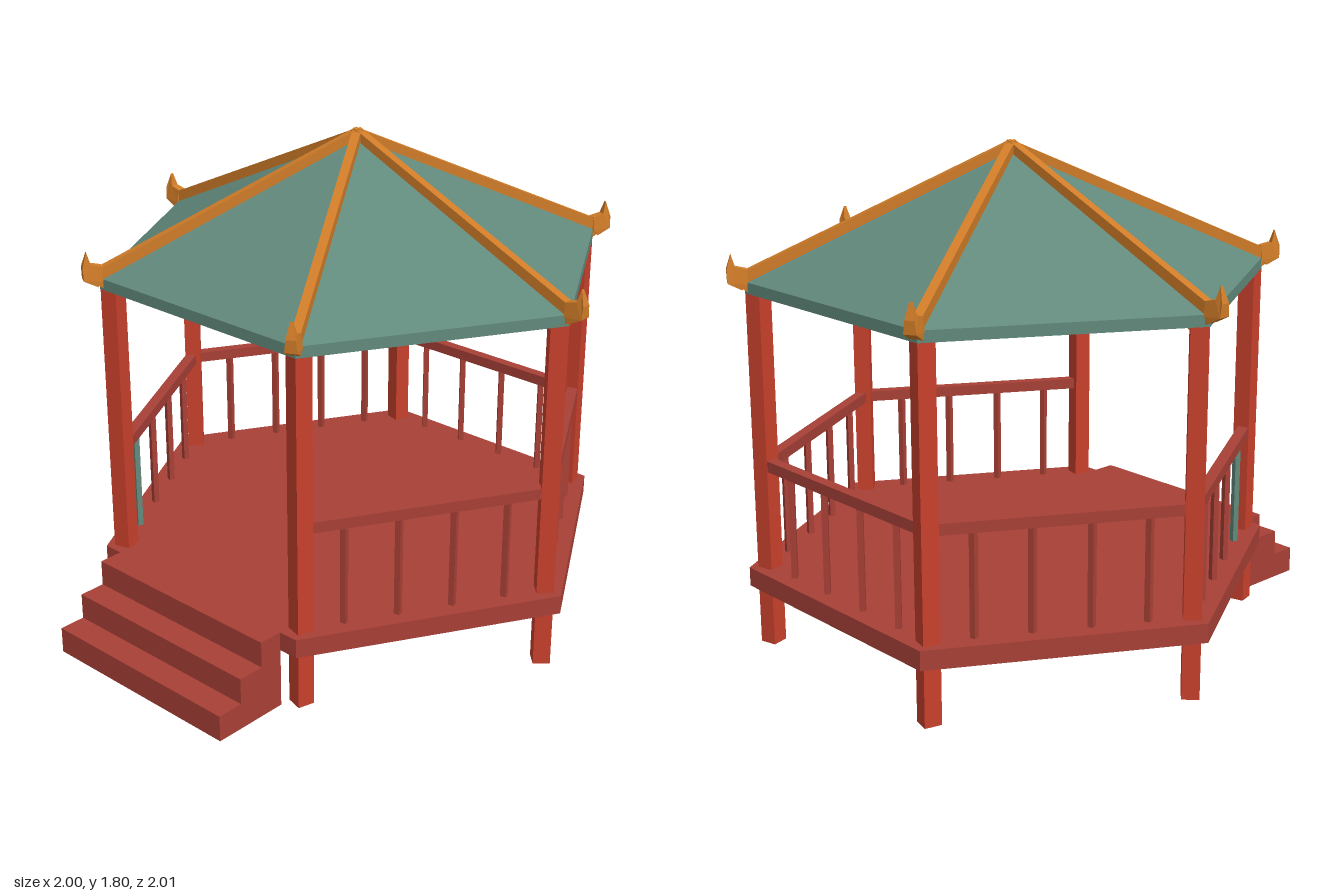
import * as THREE from 'three';

export function createModel() {
  const model = new THREE.Group();
  const material = (name, color) => {
    const m = new THREE.MeshStandardMaterial({ color });
    m.name = name;
    return m;
  };
  const wood = material('dark red wood', 0xa84036);
  const postRed = material('bright red paint', 0xc8402c);
  const tile = material('green roof', 0x628a7c);
  const gold = material('orange trim', 0xd07c28);

  const add = (parent, name, geometry, mat, x = 0, y = 0, z = 0) => {
    const mesh = new THREE.Mesh(geometry, mat);
    mesh.name = name;
    mesh.position.set(x, y, z);
    parent.add(mesh);
    return mesh;
  };
  const flat = (geometry) => {
    const g = geometry.index ? geometry.toNonIndexed() : geometry;
    g.computeVertexNormals();
    return g;
  };
  // Side profile extruded to a width, centred on its own plane
  const plate = (points, width) => {
    const shape = new THREE.Shape(points.map(([x, y]) => new THREE.Vector2(x, y)));
    return new THREE.ExtrudeGeometry(shape, { depth: width, bevelEnabled: false })
      .translate(0, 0, -width / 2);
  };
  // Hexagonal solid of revolution with corners on the x axis
  const hexLathe = (points) => flat(new THREE.LatheGeometry(
    points.map(([r, y]) => new THREE.Vector2(r, y)), 6, Math.PI / 2));

  const pavilion = new THREE.Group();
  pavilion.name = 'pavilion';
  pavilion.position.z = -0.13;
  model.add(pavilion);

  // Deck and hollow roof
  add(pavilion, 'deck', hexLathe([[0, 0.22], [0.97, 0.22], [0.97, 0.29], [0, 0.29]]), wood);
  add(pavilion, 'roof', hexLathe([[0, 1.73], [0.94, 1.30], [0.94, 1.34], [0, 1.77]]), tile);

  // Shared corner pieces
  const postGeo = new THREE.BoxGeometry(0.062, 1.33, 0.062).rotateY(Math.PI / 4);
  const rafterGeo = plate([[0, 1.69], [0.88, 1.272], [0.95, 1.32], [0.95, 1.374], [0, 1.80]], 0.032);
  const hornGeo = plate([[0.93, 1.335], [0.95, 1.315], [0.998, 1.34], [1.0, 1.385],
    [0.983, 1.44], [0.97, 1.395], [0.93, 1.385]], 0.044);
  // Taper the horn towards its tip
  const p = hornGeo.attributes.position;
  for (let i = 0; i < p.count; i++) {
    const t = Math.max(0, (p.getY(i) - 1.36) / 0.08);
    p.setZ(i, p.getZ(i) * (1 - 0.75 * t));
  }
  hornGeo.computeVertexNormals();

  // Posts, ridge rafters and upturned eave horns at the six corners
  for (let k = 0; k < 6; k++) {
    const corner = new THREE.Group();
    corner.name = 'corner';
    corner.rotation.y = -k * Math.PI / 3;
    add(corner, 'post', postGeo, postRed, 0.895, 0.665, 0);
    add(corner, 'rafter', rafterGeo, gold);
    add(corner, 'eaveHorn', hornGeo, gold);
    pavilion.add(corner);
  }

  // Railings on every side but the front
  const railGeo = new THREE.BoxGeometry(0.04, 0.04, 0.895);
  const balusterGeo = new THREE.BoxGeometry(0.021, 0.38, 0.021).rotateY(Math.PI / 4);
  for (let k = 0; k < 6; k++) {
    if (k === 1) continue;
    const side = new THREE.Group();
    side.name = 'railing';
    side.rotation.y = -(k + 0.5) * Math.PI / 3;
    add(side, 'handrail', railGeo, wood, 0.775, 0.68, 0);
    [-0.295, -0.1, 0.1, 0.295].forEach((z, i) => {
      // One baluster beside the entrance is green
      add(side, 'baluster', balusterGeo, k === 2 && i === 0 ? tile : wood, 0.775, 0.475, z);
    });
    pavilion.add(side);
  }

  // Entrance steps
  const steps = plate([[0.708, 0], [1.0, 0], [1.0, 0.097], [0.9, 0.097], [0.9, 0.194],
    [0.8, 0.194], [0.8, 0.29], [0.708, 0.29]], 0.82);
  steps.rotateY(-Math.PI / 2);
  add(model, 'steps', steps, wood);

  return model;
}
